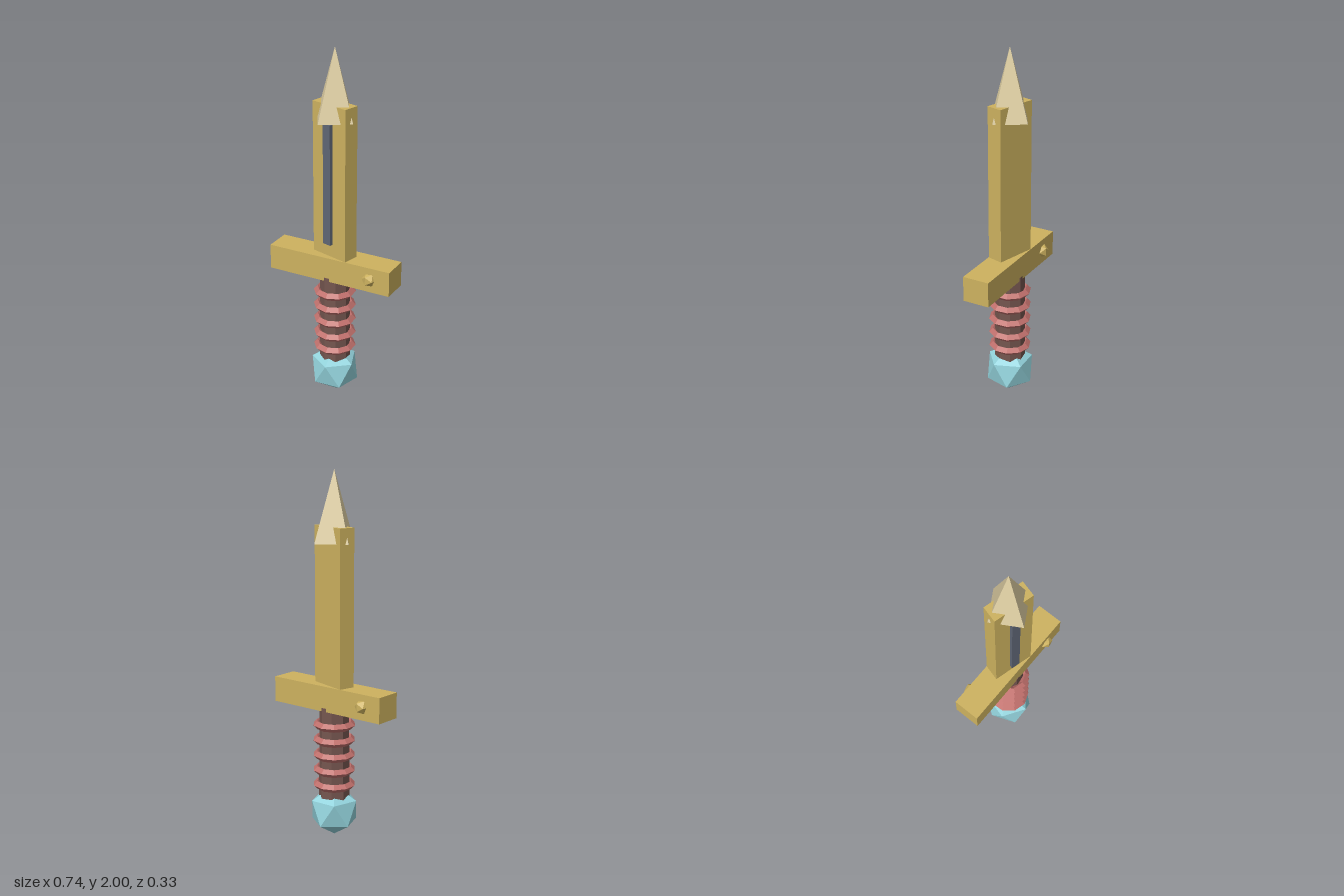
import * as THREE from 'three';

const material = (color) => new THREE.MeshStandardMaterial({ color, flatShading: true });

export function createModel() {
  const group = new THREE.Group();
  const gold = material(0xcdb25f);
  const ivory = material(0xe0d0a4);
  const steel = material(0x5f6675);
  const brown = material(0x75564f);
  const red = material(0xc0706c);
  const crystal = material(0x93d3dc);

  const add = (name, geometry, mat, x, y, z, parent = group) => {
    const mesh = new THREE.Mesh(geometry, mat);
    mesh.name = name;
    mesh.position.set(x, y, z);
    parent.add(mesh);
    return mesh;
  };

  // Pommel: icosahedron standing on one corner
  const pommel = new THREE.IcosahedronGeometry(0.142, 0);
  pommel.rotateX(-Math.atan((1 + Math.sqrt(5)) / 2));
  pommel.rotateY(Math.PI / 2);
  add('pommel', pommel, crystal, 0, 0.142, 0);

  // Eight-sided grip, ending just inside the guard
  add('grip', new THREE.CylinderGeometry(0.081, 0.085, 0.535, 8), brown, 0, 0.4675, 0);

  // Diamond-section rings wrapped around the grip
  const ring = new THREE.TorusGeometry(0.095, 0.022, 4, 10);
  ring.rotateX(Math.PI / 2);
  for (let i = 0; i < 5; i++) add('gripRing', ring, red, 0, 0.294 + i * 0.085, 0);

  // Crossguard, turned about the vertical axis
  const guard = add('guard', new THREE.BoxGeometry(0.724, 0.14, 0.15), gold, 0, 0.786, 0);
  guard.rotation.y = THREE.MathUtils.degToRad(15);

  // Studs: one shows at the front left, the other at the back right
  const stud = new THREE.IcosahedronGeometry(0.042, 0);
  for (const side of [-1, 1]) add('guardStud', stud, gold, side * 0.25, 0.786, 0);

  // Blade with a raised strip on its front
  add('blade', new THREE.BoxGeometry(0.23, 0.91, 0.09), gold, 0, 1.25, 0);
  add('bladeStrip', new THREE.BoxGeometry(0.05, 0.675, 0.04), steel, 0, 1.268, 0.045);

  // Four-sided pyramid point
  add('bladeTip', new THREE.ConeGeometry(0.127, 0.38, 4), ivory, 0, 1.81, 0);

  return group;
}
